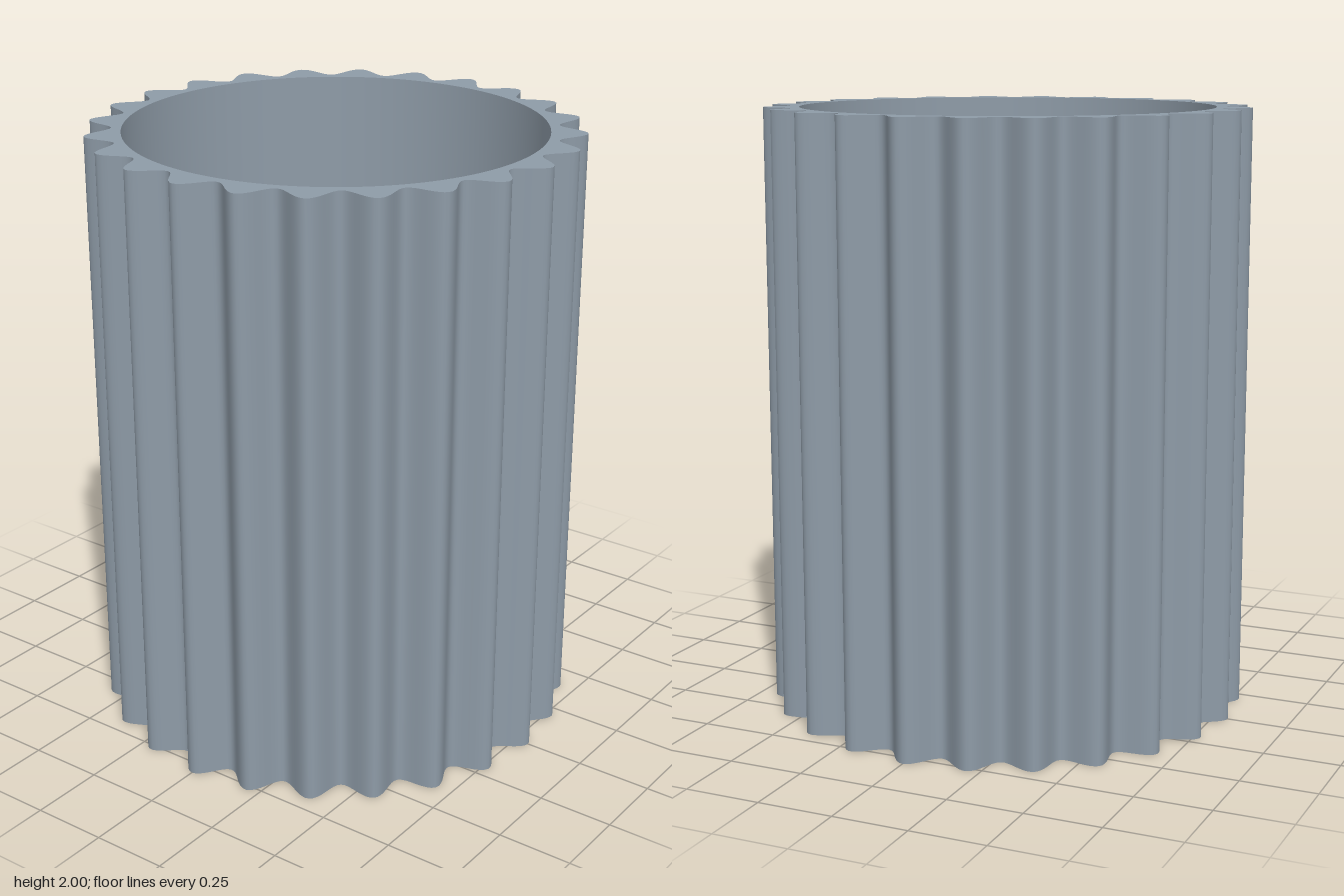
import * as THREE from 'three';
import { toCreasedNormals } from 'three/addons/utils/BufferGeometryUtils.js';

const HEIGHT = 2, FLOOR = 0.08, BORE = 0.683;
const FLUTES = 24, STEPS = 16, MID = 0.758, WAVE = 0.042;

// Wavy outer outline: one cosine wave per flute
function flutedOutline() {
  const points = [];
  const count = FLUTES * STEPS;
  for (let i = 0; i < count; i++) {
    const a = (i / count) * Math.PI * 2;
    const r = MID + WAVE * Math.cos(FLUTES * a);
    points.push(new THREE.Vector2(r * Math.cos(a), r * Math.sin(a)));
  }
  return new THREE.Shape(points);
}

// Upright extrusion with smooth sides and sharp rims
function extrudeUp(shape, depth) {
  const geometry = new THREE.ExtrudeGeometry(shape, { depth, bevelEnabled: false, curveSegments: 96 });
  geometry.rotateX(-Math.PI / 2);
  return toCreasedNormals(geometry, 0.6);
}

export function createModel() {
  const group = new THREE.Group();
  group.name = 'flutedCup';
  const slate = new THREE.MeshStandardMaterial({ color: 0x8e9ba7 });
  slate.name = 'slateGrey';

  // Fluted wall around a round bore
  const ring = flutedOutline();
  ring.holes.push(new THREE.Path().absarc(0, 0, BORE, 0, Math.PI * 2, true));
  const wall = new THREE.Mesh(extrudeUp(ring, HEIGHT), slate);
  wall.name = 'flutedWall';
  group.add(wall);

  // Floor closing the bore at the base
  const disc = new THREE.Shape().absarc(0, 0, BORE, 0, Math.PI * 2, false);
  const floor = new THREE.Mesh(extrudeUp(disc, FLOOR), slate);
  floor.name = 'floor';
  group.add(floor);

  return group;
}
